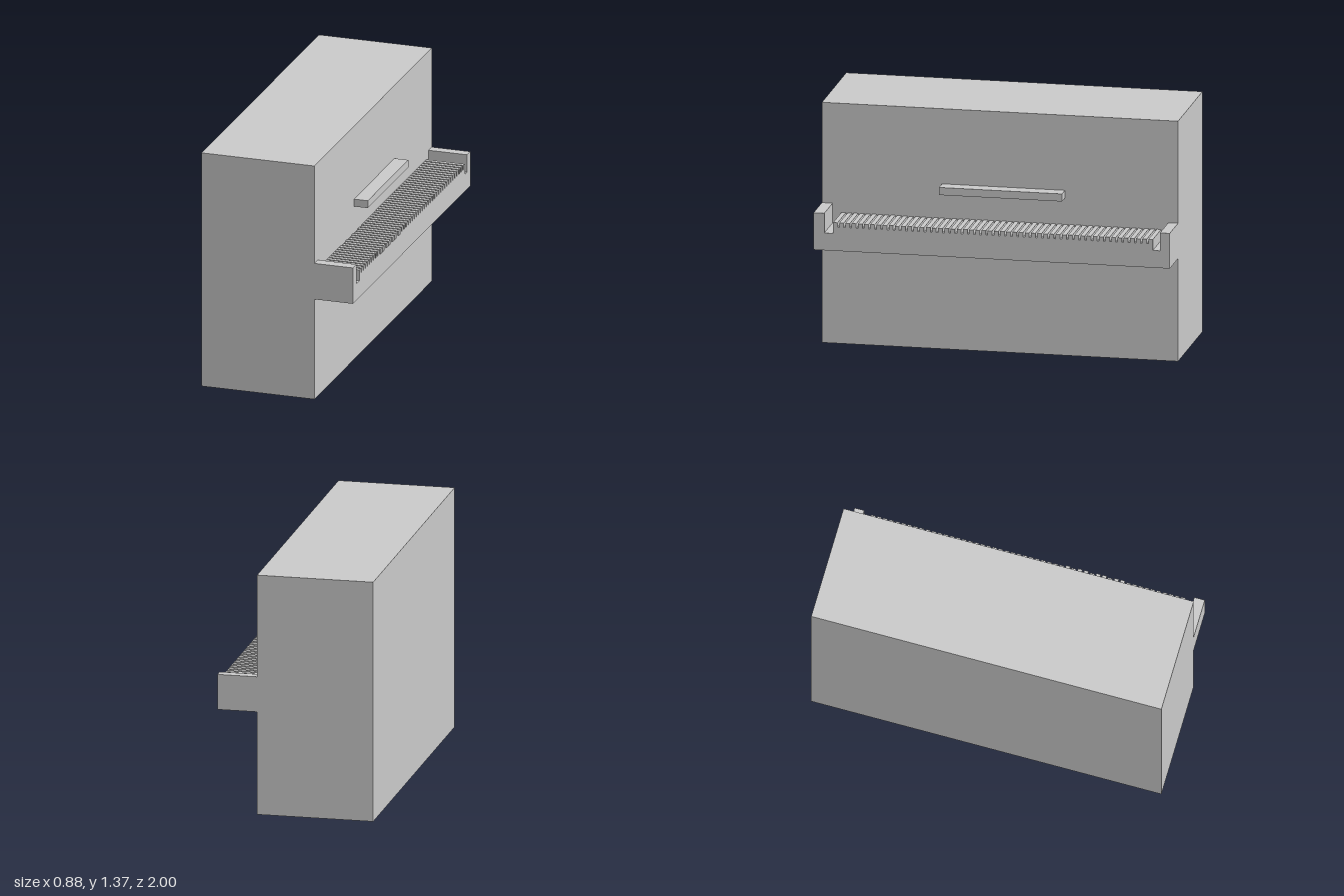
import * as THREE from 'three';

const material = new THREE.MeshStandardMaterial({ color: 0xcccccc, flatShading: true });

// Box given by its lower and upper limits on each axis
function block(name, [x0, x1], [y0, y1], [z0, z1]) {
  const geometry = new THREE.BoxGeometry(x1 - x0, y1 - y0, z1 - z0);
  geometry.translate((x0 + x1) / 2, (y0 + y1) / 2, (z0 + z1) / 2);
  const mesh = new THREE.Mesh(geometry, material);
  mesh.name = name;
  return mesh;
}

export function createModel() {
  const model = new THREE.Group();
  model.name = 'uprightPiano';

  const wall = 0.21, front = 0.434;

  // Tall case and music ledge
  model.add(block('case', [-0.445, wall], [0, 1.365], [-1, 1]));
  model.add(block('musicLedge', [wall, 0.29], [0.895, 0.938], [-0.365, 0.325]));

  // Key bed: cross-section along the keyboard (z, y), with raised cheeks and end grooves
  const bedTop = 0.72, keyStart = -0.905, keyEnd = 0.89;
  const profile = [
    [1, 0.585], [-1, 0.585], [-1, 0.785], [-0.945, 0.785], [-0.945, 0.683], [keyStart, 0.683],
    [keyStart, bedTop], [keyEnd, bedTop], [keyEnd, 0.683], [0.94, 0.683], [0.94, 0.795], [1, 0.795],
  ];
  const shape = new THREE.Shape(profile.map(([z, y]) => new THREE.Vector2(-z, y)));
  const bedGeometry = new THREE.ExtrudeGeometry(shape, { depth: front - wall, bevelEnabled: false });
  bedGeometry.rotateY(Math.PI / 2).translate(wall, 0, 0);
  const bed = new THREE.Mesh(bedGeometry, material);
  bed.name = 'keyBed';
  model.add(bed);

  // Row of keys with narrow gaps; a few stand slightly proud of the bed
  const keys = new THREE.Group();
  keys.name = 'keys';
  const count = 52, gap = 0.01;
  const pitch = (keyEnd - keyStart + gap) / count;
  for (let i = 0; i < count; i++) {
    const z = keyStart + i * pitch;
    const proud = z > 0.2 && z < 0.55 && i % 3 !== 0 ? 0.006 : 0;
    keys.add(block('key', [wall + proud, front + proud], [bedTop, 0.745], [z, z + pitch - gap]));
  }
  model.add(keys);

  return model;
}
